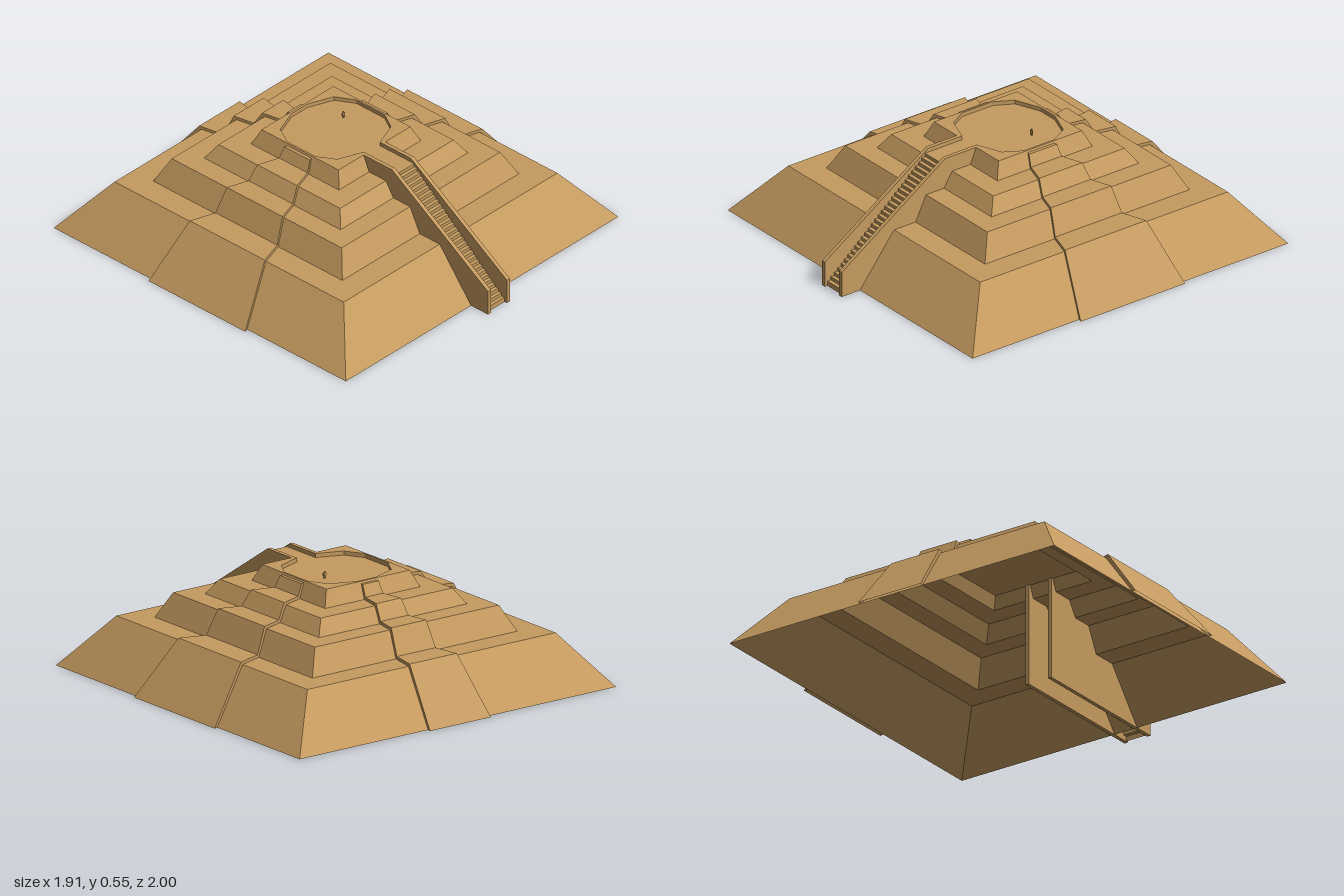
import * as THREE from 'three';

const sand = new THREE.MeshStandardMaterial({ color: 0xc49a5f, side: THREE.DoubleSide });
sand.name = 'sandstone';

const CENTRE_Z = -0.045, TOP = 0.535, FLOOR = 0.515;

function mesh(name, geometry, parent) {
  const m = new THREE.Mesh(geometry, sand);
  m.name = name;
  parent.add(m);
  return m;
}

function quads(list) {
  const pos = [];
  for (const [a, b, c, d] of list) pos.push(...a, ...b, ...c, ...a, ...c, ...d);
  const g = new THREE.BufferGeometry();
  g.setAttribute('position', new THREE.Float32BufferAttribute(pos, 3));
  g.computeVertexNormals();
  return g;
}

// Sheet facing +z that follows a (distance, height) profile inward, with half width w(distance).
// An optional under profile closes both edges down to the surface below.
function strip(profile, w, under) {
  const at = ([d, y], s) => [s * w(d), y, d];
  const list = [];
  for (let i = 0; i < profile.length - 1; i++) {
    const p = profile[i], q = profile[i + 1];
    list.push([at(p, -1), at(p, 1), at(q, 1), at(q, -1)]);
    if (under) {
      const u = under[i], v = under[i + 1];
      list.push([at(p, 1), at(u, 1), at(v, 1), at(q, 1)]);
      list.push([at(p, -1), at(q, -1), at(v, -1), at(u, -1)]);
    }
  }
  return quads(list);
}

export function createModel() {
  const model = new THREE.Group();
  model.name = 'steppedPyramid';
  const body = new THREE.Group();
  body.name = 'pyramidBody';
  body.position.z = CENTRE_Z;
  model.add(body);

  // Four stepped tiers, each a slope and the ledge above it
  const core = [[0.937, 0], [0.735, 0.255], [0.607, 0.255], [0.545, 0.38], [0.438, 0.38],
    [0.39, 0.455], [0.282, 0.455], [0.2555, FLOOR]];
  for (let t = 0; t < 4; t++) {
    const tier = new THREE.Group();
    tier.name = 'tier' + (t + 1);
    body.add(tier);
    for (let k = 0; k < 4; k++) {
      mesh('tierSide', strip(core.slice(t * 2, t * 2 + 3), d => d), tier).rotation.y = k * Math.PI / 2;
    }
  }

  // Raised tapering bands on the back and both sides
  const band = [[0.957, 0], [0.748, 0.27], [0.617, 0.27], [0.56, 0.395], [0.45, 0.395],
    [0.405, 0.47], [0.294, 0.47], [0.268, 0.525], [0.251, 0.525]];
  const under = [...core, [0.251, 0.525]];
  for (const [name, turn, near, slope] of [
    ['leftBand', 1, 0.08, 0.33], ['backBand', 2, 0.046, 0.192], ['rightBand', 3, 0.08, 0.33]]) {
    mesh(name, strip(band, d => near + slope * (d - 0.26), under), body).rotation.y = turn * Math.PI / 2;
  }

  // Parapet round the sunken court, open at the front towards the stair
  const half = [[0.055, -0.23], [0.185, -0.18], [0.237, -0.09], [0.237, 0.09], [0.185, 0.185], [0.055, 0.235]];
  const court = [...half, ...half.map(([x, s]) => [-x, s]).reverse()];
  const e = 0.247;
  const vectors = pts => pts.map(([x, s]) => new THREE.Vector2(x, s));
  const rimShape = new THREE.Shape(vectors([
    [0.055, -e], [e, -e], [e, e], [-e, e], [-e, -e], [-0.055, -e], ...[...court].reverse()]));
  const rim = new THREE.ExtrudeGeometry(rimShape, { depth: TOP - FLOOR, bevelEnabled: false });
  const p = rim.attributes.position;
  for (let i = 0; i < p.count; i++) {
    // Splay the outer foot to continue the slope of the top tier
    if (p.getZ(i) < 0.001) {
      for (const axis of ['X', 'Y']) {
        const v = p['get' + axis](i);
        if (Math.abs(v) > 0.24) p['set' + axis](i, Math.sign(v) * 0.2555);
      }
    }
  }
  rim.computeVertexNormals();
  rim.rotateX(-Math.PI / 2);
  mesh('courtParapet', rim, body).position.y = FLOOR;

  // Court floor with the passage leading to the stair
  const floor = new THREE.ShapeGeometry(new THREE.Shape(vectors([[-0.055, -0.43], [0.055, -0.43], ...court])));
  floor.rotateX(-Math.PI / 2);
  mesh('courtFloor', floor, body).position.y = FLOOR;

  // Front stair
  const steps = 30, profile = [[0.985, 0]];
  for (let i = 0; i < steps; i++) {
    const y = 0.025 + (FLOOR - 0.025) * i / (steps - 1);
    profile.push([0.985 - 0.6 * i / steps, y], [0.985 - 0.6 * (i + 1) / steps, y]);
  }
  mesh('frontStair', strip(profile, () => 0.055), model);

  // Stair side walls
  const wallShape = new THREE.Shape(vectors([[1, 0], [1, 0.13], [0.385, TOP], [0.2, TOP], [0.2, 0]]));
  const wall = new THREE.ExtrudeGeometry(wallShape, { depth: 0.02, bevelEnabled: false });
  wall.rotateY(-Math.PI / 2);
  mesh('leftStairWall', wall, model).position.x = 0.075;
  mesh('rightStairWall', wall, model).position.x = -0.055;

  // Tiny standing figure in the court
  const figure = new THREE.Group();
  figure.name = 'figure';
  figure.position.set(0.11, FLOOR, -0.1);
  model.add(figure);
  for (const s of [-1, 1]) {
    mesh('leg', new THREE.BoxGeometry(0.004, 0.016, 0.005), figure).position.set(s * 0.003, 0.008, 0);
    mesh('arm', new THREE.BoxGeometry(0.003, 0.013, 0.004), figure).position.set(s * 0.008, 0.0205, 0);
  }
  mesh('torso', new THREE.BoxGeometry(0.012, 0.013, 0.006), figure).position.y = 0.0225;
  mesh('head', new THREE.SphereGeometry(0.0035, 8, 6), figure).position.y = 0.0325;

  return model;
}
